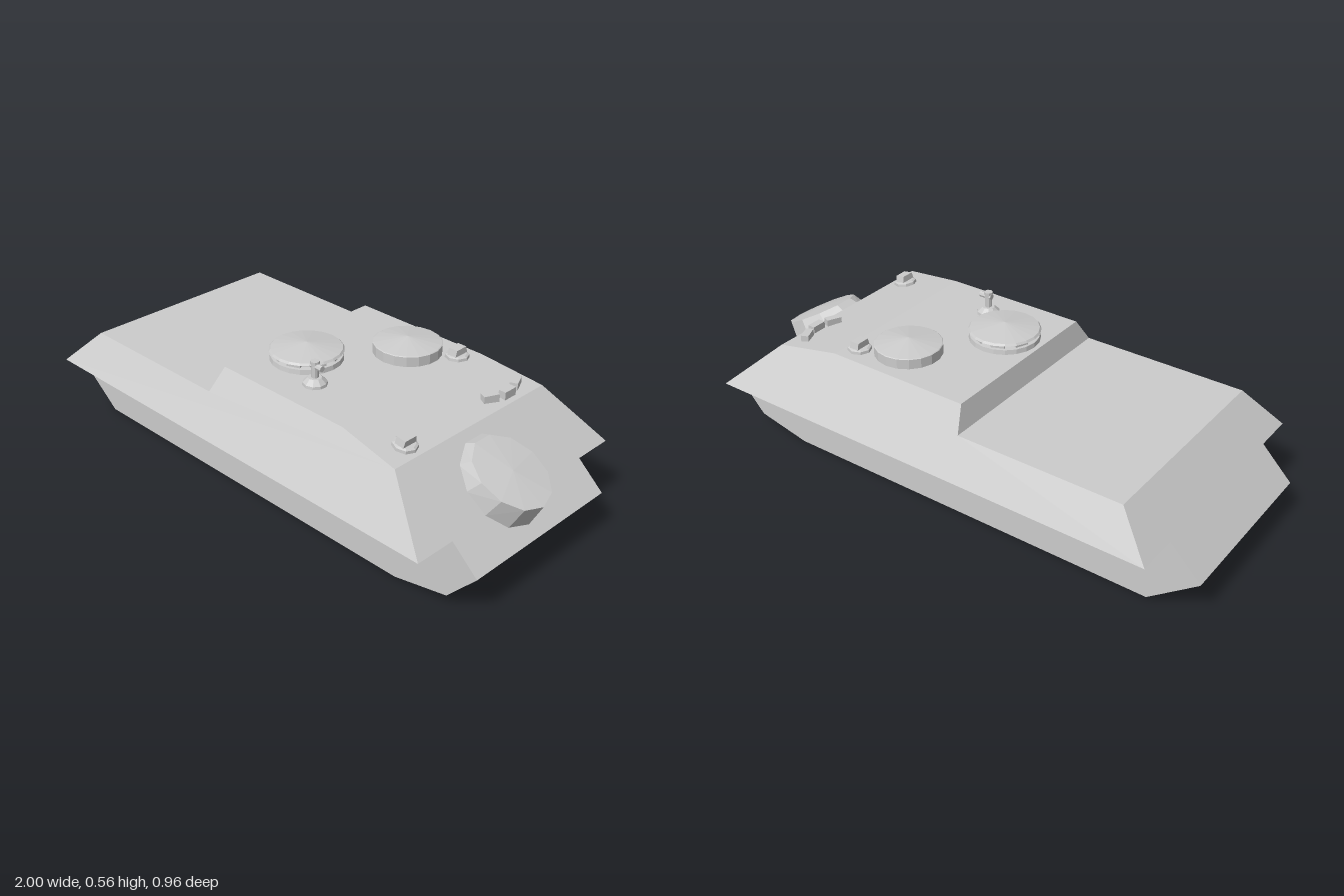
import * as THREE from 'three';

const material = new THREE.MeshStandardMaterial({ color: 0xcccccc, flatShading: true, side: THREE.DoubleSide });

function add(parent, name, geometry, x = 0, y = 0, z = 0) {
  const mesh = new THREE.Mesh(geometry, material);
  mesh.name = name;
  mesh.position.set(x, y, z);
  parent.add(mesh);
  return mesh;
}

function addGroup(parent, name, x, y, z) {
  const group = new THREE.Group();
  group.name = name;
  group.position.set(x, y, z);
  parent.add(group);
  return group;
}

// Side profile extruded across z, with a half width that depends on height
function hullGeometry(profile, halfWidth) {
  const shape = new THREE.Shape(profile.map(([x, y]) => new THREE.Vector2(x, y)));
  const geometry = new THREE.ExtrudeGeometry(shape, { depth: 1, bevelEnabled: false });
  const p = geometry.attributes.position;
  for (let i = 0; i < p.count; i++) {
    p.setZ(i, (p.getZ(i) > 0.5 ? 1 : -1) * halfWidth(p.getY(i)));
  }
  geometry.computeVertexNormals();
  return geometry;
}

// Faceted solid of revolution from [radius, height] points
function turned(points, sides) {
  return new THREE.LatheGeometry(points.map(([r, y]) => new THREE.Vector2(r, y)), sides);
}

// Skewed drum: a ring on the sloping plate, a smaller tilted ring, a low apex
function mantletGeometry(sides) {
  const rings = [
    { x: 0.83, y: 0.305, dx: 0.124, dy: -0.106, rz: 0.146 },
    { x: 0.873, y: 0.355, dx: 0.127, dy: -0.069, rz: 0.129 },
    { x: 0.877, y: 0.363, dx: 0, dy: 0, rz: 0 },
  ];
  const positions = [], index = [];
  for (const r of rings) {
    for (let i = 0; i < sides; i++) {
      const a = (i / sides) * Math.PI * 2;
      positions.push(r.x + r.dx * Math.cos(a), r.y + r.dy * Math.cos(a), 0.028 + r.rz * Math.sin(a));
    }
  }
  for (let k = 0; k < rings.length - 1; k++) {
    for (let i = 0; i < sides; i++) {
      const j = (i + 1) % sides;
      const a = k * sides + i, b = k * sides + j, c = a + sides, d = b + sides;
      index.push(a, c, b);
      if (k === 0) index.push(b, c, d);
    }
  }
  const geometry = new THREE.BufferGeometry();
  geometry.setAttribute('position', new THREE.Float32BufferAttribute(positions, 3));
  geometry.setIndex(index);
  geometry.computeVertexNormals();
  return geometry;
}

// Box whose top is narrower than its base
function taperedBox(w, h, d, taper) {
  const geometry = new THREE.BoxGeometry(w, h, d);
  const p = geometry.attributes.position;
  for (let i = 0; i < p.count; i++) {
    if (p.getY(i) > 0) p.setZ(i, p.getZ(i) * taper);
  }
  geometry.computeVertexNormals();
  return geometry;
}

export function createModel() {
  const model = new THREE.Group();
  model.name = 'armouredVehicle';

  // Hull
  add(model, 'lowerHull', hullGeometry([
    [-0.82, 0], [0.67, 0], [0.88, 0.045], [0.99, 0.165], [0.89, 0.255], [-0.885, 0.255], [-1, 0.14],
  ], () => 0.325));
  add(model, 'upperHull', hullGeometry([
    [-0.885, 0.255], [0.89, 0.255], [0.69, 0.435], [0.45, 0.47], [-0.105, 0.47], [-0.13, 0.385], [-0.755, 0.385],
  ], (y) => 0.48 - (y - 0.255) * 0.628));
  add(model, 'gunMantlet', mantletGeometry(11));

  // Commander's cupola with a ring of vision blocks under the lid
  const cupola = addGroup(model, 'cupola', 0.04, 0.47, 0.1);
  add(cupola, 'cupolaBase', turned([[0.13, -0.005], [0.127, 0.017], [0.105, 0.019], [0.105, 0.036]], 20));
  add(cupola, 'cupolaLid', turned([[0.1, 0.034], [0.131, 0.034], [0.125, 0.041], [0, 0.06]], 20));
  for (let i = 0; i < 8; i++) {
    const a = ((i + 0.5) / 8) * Math.PI * 2;
    const block = add(cupola, 'visionBlock', new THREE.BoxGeometry(0.05, 0.018, 0.02),
      Math.sin(a) * 0.105, 0.027, Math.cos(a) * 0.105);
    block.rotation.y = a;
  }

  // Plain round hatch
  add(model, 'roundHatch', turned([[0.122, -0.005], [0.122, 0.036], [0.119, 0.038], [0, 0.057]], 18), 0.25, 0.47, -0.182);

  // Sight on a post
  const sight = addGroup(model, 'postSight', 0.195, 0.47, 0.213);
  add(sight, 'sightBase', turned([[0.044, -0.005], [0.042, 0.01], [0.024, 0.027], [0, 0.027]], 10));
  add(sight, 'sightPost', new THREE.CylinderGeometry(0.013, 0.013, 0.06, 8), 0, 0.055, 0);
  add(sight, 'sightCap', new THREE.CylinderGeometry(0.016, 0.016, 0.01, 8), 0, 0.081, 0);
  const lens = add(sight, 'sightLens', new THREE.CylinderGeometry(0.011, 0.011, 0.05, 8), 0.01, 0.068, 0);
  lens.rotation.z = Math.PI / 2;

  // Two periscopes on low octagonal mounts
  for (const [x, y, z, tilt] of [[0.4, 0.47, -0.27, 0], [0.632, 0.444, 0.257, -0.145]]) {
    const periscope = addGroup(model, 'periscope', x, y, z);
    periscope.rotation.z = tilt;
    add(periscope, 'periscopeMount', turned([[0.044, -0.006], [0.042, 0.01], [0.034, 0.014], [0, 0.014]], 8));
    add(periscope, 'periscopeHead', taperedBox(0.036, 0.026, 0.062, 0.8), 0, 0.024, 0);
  }

  // Arc of three vision blocks
  for (const [x, z, turn] of [[0.637, -0.288, 0.42], [0.656, -0.219, 0], [0.639, -0.15, -0.42]]) {
    const block = add(model, 'driverVisionBlock', new THREE.BoxGeometry(0.028, 0.03, 0.056), x, 0.452, z);
    block.rotation.y = turn;
  }

  return model;
}
